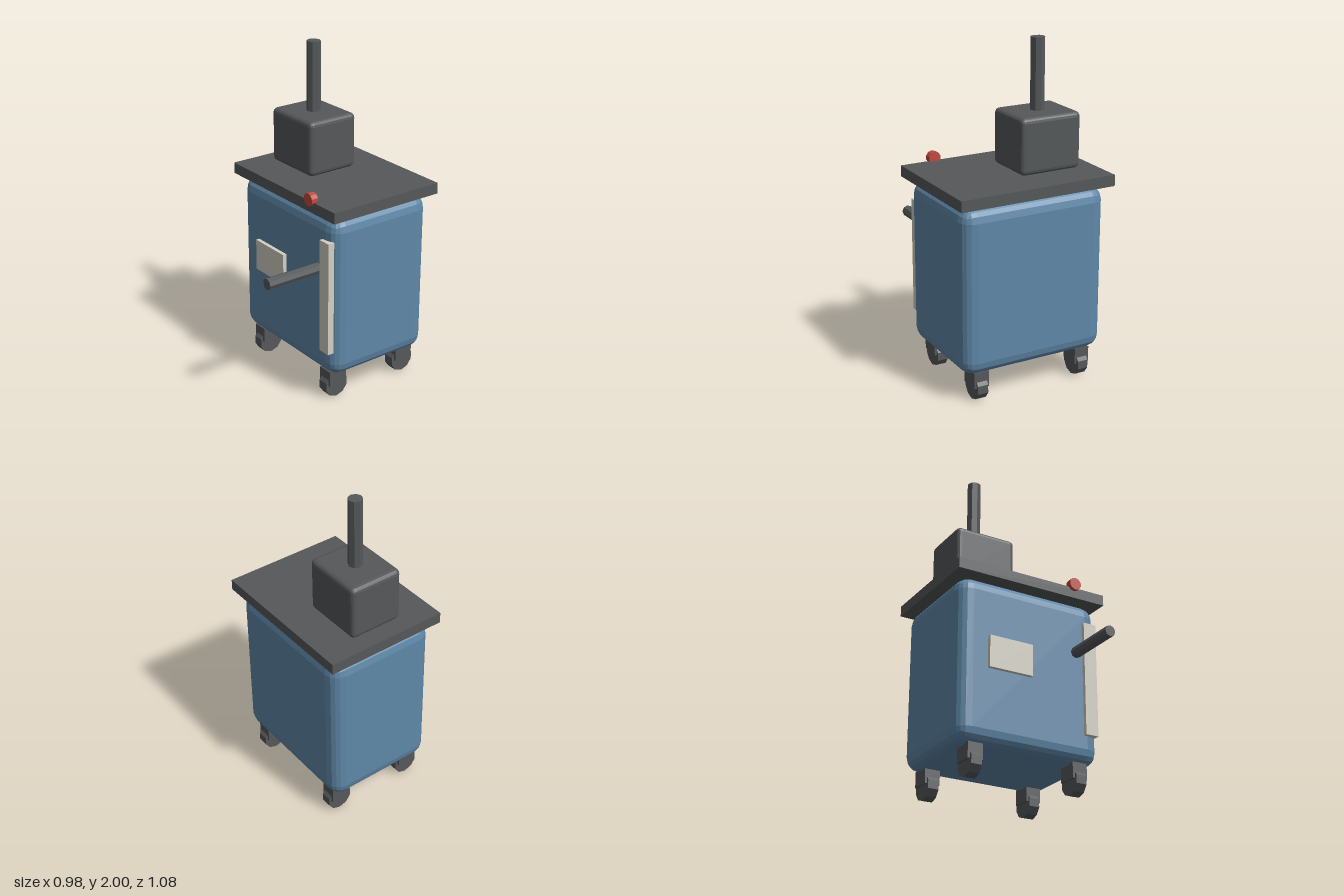
import * as THREE from 'three';
import { RoundedBoxGeometry } from 'three/addons/geometries/RoundedBoxGeometry.js';

const paint = (color) => new THREE.MeshStandardMaterial({ color, flatShading: true });

export function createModel() {
  const model = new THREE.Group();
  const iron = paint(0x55585a);
  const blue = paint(0x5f88a8);
  const cream = paint(0xd3d0c4);
  const red = paint(0xc24a42);

  function add(name, geometry, material, x, y, z, parent = model) {
    const mesh = new THREE.Mesh(geometry, material);
    mesh.name = name;
    mesh.position.set(x, y, z);
    parent.add(mesh);
    return mesh;
  }
  const rod = (r, length, sides) => new THREE.CylinderGeometry(r, r, length, sides);

  // Cabinet with softened edges and an overhanging top plate
  const midZ = -0.163;
  add('cabinet', new RoundedBoxGeometry(0.915, 1.0, 0.693, 2, 0.085), blue, -0.001, 0.673, midZ);
  add('topPlate', new THREE.BoxGeometry(0.979, 0.066, 0.753), iron, 0, 1.213, midZ);

  // Motor housing and upright post
  add('housing', new RoundedBoxGeometry(0.388, 0.334, 0.334, 2, 0.03), iron, -0.198, 1.413, midZ);
  add('post', rod(0.042, 0.43, 8), iron, -0.198, 1.785, midZ);

  // Front plates, each let into the cabinet
  add('labelPlate', new THREE.BoxGeometry(0.278, 0.193, 0.04), cream, -0.142, 0.716, 0.187);
  add('doorStrip', new THREE.BoxGeometry(0.082, 0.698, 0.04), cream, 0.39, 0.688, 0.187);

  // Handle and knob point forwards
  add('handle', rod(0.034, 0.36, 8).rotateX(Math.PI / 2), iron, 0.304, 0.841, 0.358);
  add('knob', rod(0.039, 0.042, 10).rotateX(Math.PI / 2), red, 0.279, 1.263, 0.215);

  // Four casters: bracket with a wheel
  const bracket = new THREE.BoxGeometry(0.094, 0.095, 0.122);
  // Turned so that a corner of the wheel touches the ground
  const wheel = rod(0.08, 0.066, 10).rotateY(Math.PI / 2).rotateZ(Math.PI / 2);
  for (const x of [-0.336, 0.334]) {
    for (const z of [0.092, -0.413]) {
      const caster = new THREE.Group();
      caster.name = 'caster';
      caster.position.set(x, 0, z);
      add('casterBracket', bracket, iron, 0, 0.135, 0, caster);
      add('casterWheel', wheel, iron, 0, 0.08, 0, caster);
      model.add(caster);
    }
  }

  return model;
}
